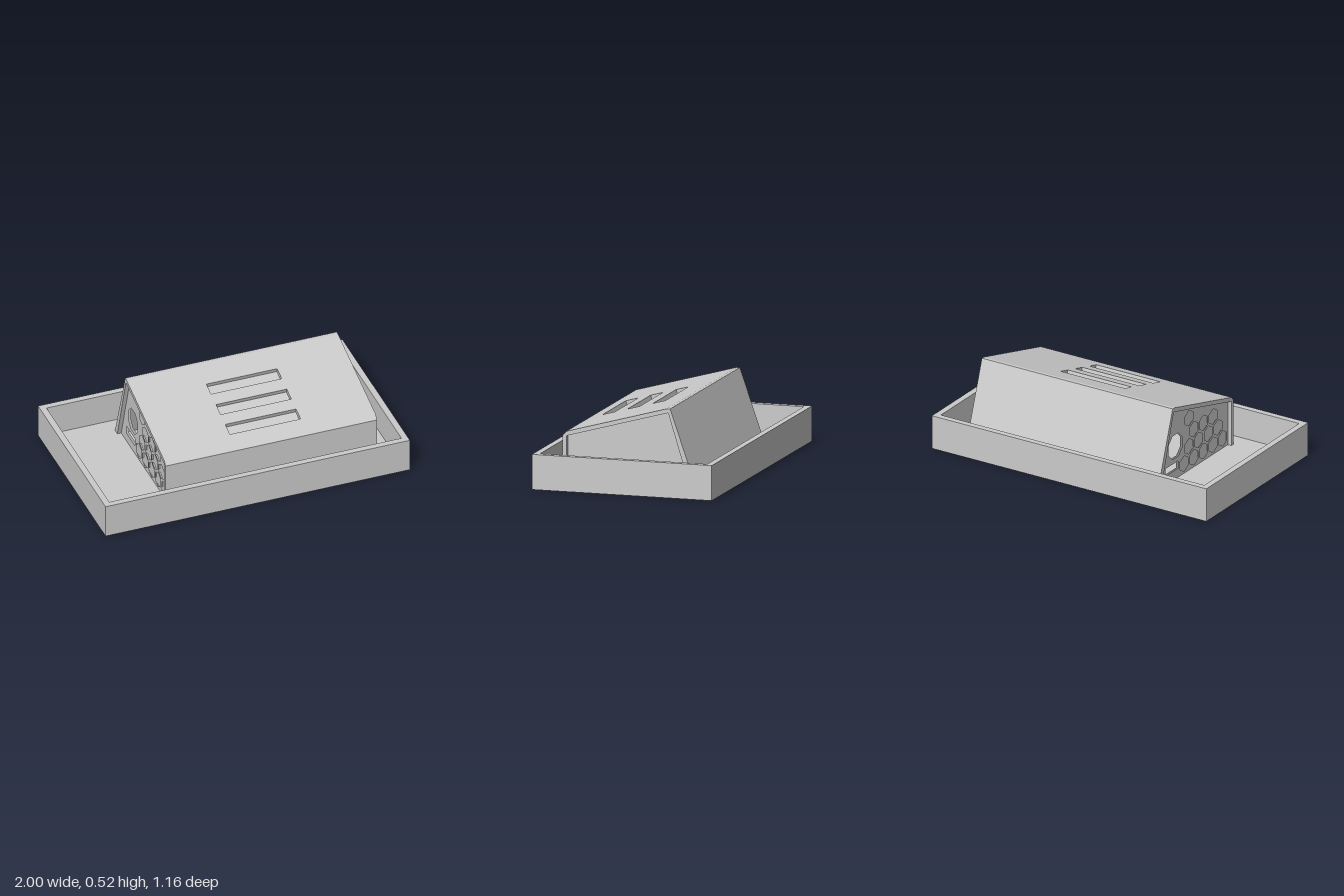
import * as THREE from 'three';

const material = new THREE.MeshStandardMaterial({ color: 0xcccccc });
const X0 = -0.55, X1 = 0.84;            // ends of the housing
const FLOOR = 0.02;                     // tray floor thickness
const T = 0.027;                        // housing wall thickness
const FRONT_EDGE = [0.41, 0.345];       // sloped top, front edge as [z, y]
const REAR_EDGE = [-0.24, 0.525];       // sloped top, rear edge as [z, y]
const SLOPE = Math.atan2(REAR_EDGE[1] - FRONT_EDGE[1], FRONT_EDGE[0] - REAR_EDGE[0]);
const INNER = [[0.408, FLOOR], [0.408, 0.316], [-0.245, 0.498], [-0.394, FLOOR]];

function add(group, name, geometry) {
  const mesh = new THREE.Mesh(geometry, material);
  mesh.name = name;
  group.add(mesh);
  return mesh;
}

const path = (points) => new THREE.Shape(points.map(([z, y]) => new THREE.Vector2(-z, y)));

// Extrudes a [z, y] outline along x
function prism(points, x0, x1, holes = []) {
  const shape = path(points);
  shape.holes = holes.map(path);
  return new THREE.ExtrudeGeometry(shape, { depth: x1 - x0, bevelEnabled: false })
    .rotateY(Math.PI / 2).translate(x0, 0, 0);
}

function rectangle(x0, y0, x1, y1) {
  return [[x0, y0], [x1, y0], [x1, y1], [x0, y1]].map(([x, y]) => new THREE.Vector2(x, y));
}

function polygon(z, y, r, sides, turn = 0) {
  return Array.from({ length: sides }, (_, i) => {
    const a = turn + (i / sides) * Math.PI * 2;
    return [z + r * Math.cos(a), y + r * Math.sin(a)];
  });
}

function createTray() {
  const tray = new THREE.Group();
  tray.name = 'tray';
  add(tray, 'trayFloor', new THREE.BoxGeometry(2, FLOOR, 1.16).translate(0, FLOOR / 2, 0));
  const rim = new THREE.Shape(rectangle(-1, -0.58, 1, 0.58));
  rim.holes.push(new THREE.Path(rectangle(-0.96, -0.54, 0.96, 0.54)));
  add(tray, 'trayWalls', new THREE.ExtrudeGeometry(rim, { depth: 0.22 - FLOOR, bevelEnabled: false })
    .rotateX(-Math.PI / 2).translate(0, FLOOR, 0));
  return tray;
}

// Sloped plate with three slots, closed underneath by a thin backing
function createTop() {
  const top = new THREE.Group();
  top.name = 'slopedTop';
  const along = (z) => (FRONT_EDGE[0] - z) / Math.cos(SLOPE);
  const plate = new THREE.Shape(rectangle(X0, 0, X1, along(REAR_EDGE[0])));
  for (const z of [-0.08, 0.085, 0.245]) {
    plate.holes.push(new THREE.Path(rectangle(-0.085, along(z + 0.08), 0.38, along(z))));
  }
  add(top, 'slottedPlate', new THREE.ExtrudeGeometry(plate, { depth: T, bevelEnabled: false })
    .translate(0, 0, -T));
  add(top, 'slotBacking', new THREE.BoxGeometry(0.6, 0.52, 0.008).translate(0.15, 0.3, -T - 0.004));
  top.rotation.x = SLOPE - Math.PI / 2;
  top.position.set(0, FRONT_EDGE[1], FRONT_EDGE[0]);
  return top;
}

// Recessed end panel with blind hexagonal pockets and two openings
function createHoneycombEnd() {
  const end = new THREE.Group();
  end.name = 'honeycombEnd';
  const port = polygon(-0.19, 0.24, 0.085, 8, Math.PI / 8);
  const cableSlot = [[-0.3, 0.08], [-0.16, 0.08], [-0.16, 0.13], [-0.3, 0.13]];
  const openings = [port, cableSlot];
  const pockets = [];
  const r = 0.052, pitch = 0.11, rowStep = 0.095;
  for (let row = 0; row < 5; row++) {
    const y = 0.085 + row * rowStep;
    for (let z = 0.35 - (row % 2) * pitch / 2; z > -0.36; z -= pitch) {
      const belowTop = y + r + 0.012 < 0.316 + (0.408 - z) * 0.279;
      const rearLimit = -0.394 + (y + r - FLOOR) * 0.312;
      const nearPort = Math.hypot(z + 0.19, y - 0.24) < 0.145;
      const nearSlot = z < -0.1 && y < 0.17;
      if (belowTop && z - r > rearLimit && !nearPort && !nearSlot) {
        pockets.push(polygon(z, y, r, 6, Math.PI / 6));
      }
    }
  }
  const x = X0 + 0.025;
  add(end, 'honeycombFace', prism(INNER, x, x + 0.015, [...openings, ...pockets]));
  add(end, 'honeycombBacking', prism(INNER, x + 0.015, x + 0.027, openings));
  return end;
}

function createHousing() {
  const housing = new THREE.Group();
  housing.name = 'housing';
  const [dz, dy] = [T * Math.sin(SLOPE), T * Math.cos(SLOPE)];
  add(housing, 'frontWall', prism([
    [0.435, FLOOR], [0.435, 0.318], FRONT_EDGE,
    [FRONT_EDGE[0] - dz, FRONT_EDGE[1] - dy], [0.408, 0.316], [0.408, FLOOR],
  ], X0, X1));
  add(housing, 'rearWall', prism([
    REAR_EDGE, [-0.26, 0.525], [-0.435, FLOOR], [-0.394, FLOOR],
    [REAR_EDGE[0] - dz, REAR_EDGE[1] - dy],
  ], X0, X1));
  housing.add(createTop(), createHoneycombEnd());

  // Plain recessed end with a narrow ledge
  add(housing, 'plainEnd', prism(INNER, X1 - 0.055, X1 - 0.03));
  add(housing, 'endLedge', prism(
    [[0.408, 0.165], [0.408, 0.185], [-0.335, 0.185], [-0.34, 0.165]], X1 - 0.03, X1 - 0.005));
  return housing;
}

export function createModel() {
  const model = new THREE.Group();
  model.name = 'housingInTray';
  model.add(createTray(), createHousing());
  return model;
}
